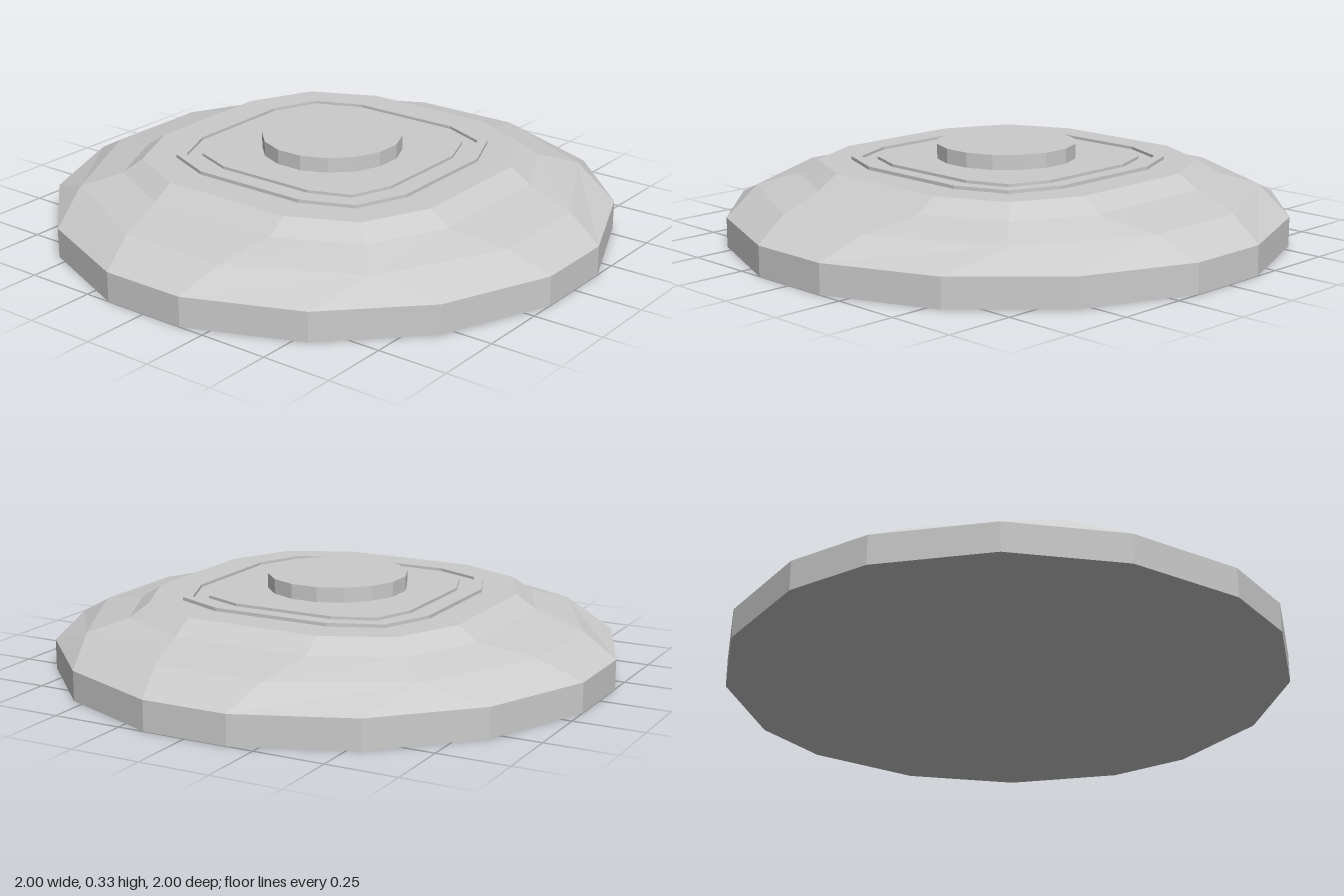
import * as THREE from 'three';

const grey = () => new THREE.MeshStandardMaterial({ color: 0xcccccc, flatShading: true });

// Sixteen-point ring with four-fold symmetry: p and q are the two points
// of an eighth, mirrored over the diagonal and turned through four quarters.
function ring(y, [px, pz], [qx, qz]) {
  const quarter = [[px, -pz], [px, pz], [qx, qz], [qz, qx]];
  const points = [];
  for (let k = 0; k < 4; k++) {
    for (const [x, z] of quarter) {
      const [rx, rz] = [[x, z], [-z, x], [-x, -z], [z, -x]][k];
      points.push(new THREE.Vector3(rx, y, rz));
    }
  }
  return points;
}

// Ring whose diagonal corner is one point (twelve sides)
const cornered = (y, side, half, corner) => ring(y, [side, half], [corner, corner]);
const centre = (y) => cornered(y, 0, 0, 0);

// Joins successive rings with faces, leaving out collapsed triangles
function loft(rings) {
  const positions = [];
  const triangle = new THREE.Triangle();
  const add = (a, b, c) => {
    if (triangle.set(a, b, c).getArea() > 1e-7) {
      for (const v of [a, b, c]) positions.push(v.x, v.y, v.z);
    }
  };
  for (let r = 0; r + 1 < rings.length; r++) {
    const low = rings[r], high = rings[r + 1], n = low.length;
    for (let i = 0; i < n; i++) {
      const j = (i + 1) % n;
      add(low[i], high[i], low[j]);
      add(low[j], high[i], high[j]);
    }
  }
  const geometry = new THREE.BufferGeometry();
  geometry.setAttribute('position', new THREE.Float32BufferAttribute(positions, 3));
  geometry.computeVertexNormals();
  return geometry;
}

export function createModel() {
  const group = new THREE.Group();
  group.name = 'steppedDisc';
  const add = (name, geometry) => {
    const mesh = new THREE.Mesh(geometry, grey());
    mesh.name = name;
    group.add(mesh);
    return mesh;
  };

  // Body: flat underside, upright rim, sloping shoulder and flat top
  add('body', loft([
    centre(0),
    ring(0, [1, 0.155], [0.84, 0.545]),
    ring(0.105, [1, 0.155], [0.84, 0.545]),
    cornered(0.178, 0.86, 0.2, 0.635),
    cornered(0.22, 0.665, 0.25, 0.53),
    cornered(0.268, 0.59, 0.245, 0.48),
    cornered(0.268, 0.47, 0.215, 0.395),
  ]));

  // Top plate: thin raised rim, shallow groove and inner panel
  add('topPlate', loft([
    cornered(0.268, 0.47, 0.215, 0.395),
    cornered(0.28, 0.47, 0.215, 0.395),
    cornered(0.28, 0.44, 0.205, 0.37),
    cornered(0.27, 0.44, 0.205, 0.37),
    cornered(0.27, 0.385, 0.185, 0.33),
    cornered(0.28, 0.385, 0.185, 0.33),
    centre(0.28),
  ]));

  // Round button in the middle
  const button = add('button', new THREE.CylinderGeometry(0.25, 0.25, 0.055, 16));
  button.rotation.y = Math.PI / 16;
  button.position.set(-0.008, 0.3055, 0);

  return group;
}
